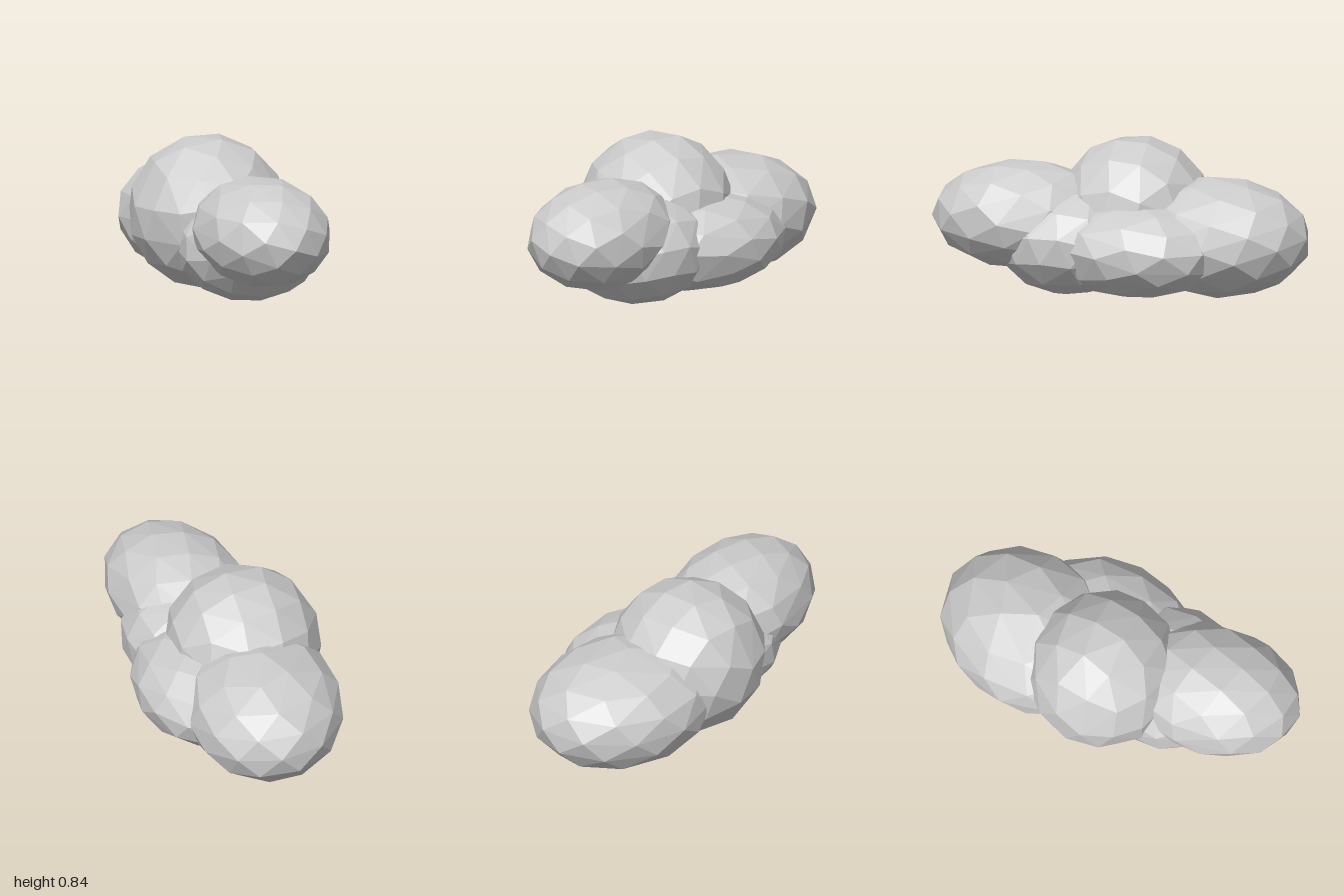
import * as THREE from 'three';
import { ConvexGeometry } from 'three/addons/geometries/ConvexGeometry.js';

// Faceted ellipsoids that overlap into one lumpy mass
const LOBES = [
  // name, centre, radii, yaw, facet turn
  ['backLobe', [-0.14, 0.325, -0.46], [0.43, 0.325, 0.535], 0, 0.3],
  ['topLobe', [-0.09, 0.425, 0.0], [0.428, 0.42, 0.425], 0, 1.1],
  ['frontLobe', [0.19, 0.425, 0.535], [0.36, 0.293, 0.49], 0.36, 2.0],
  ['sideLobe', [0.13, 0.285, -0.115], [0.4, 0.267, 0.51], 0, 2.7],
  ['lowerLobe', [0.13, 0.305, 0.28], [0.4, 0.307, 0.405], 0, 3.9],
];

const POINTS = 64;

// Unit ball with large, slightly irregular facets: the hull of a spiral of points
function facetedBall(turn) {
  const tilt = new THREE.Euler(turn, 0, turn * 0.7);
  const points = [];
  for (let i = 0; i < POINTS; i++) {
    const polar = Math.acos(1 - (2 * i + 1) / POINTS);
    const around = i * Math.PI * (3 - Math.sqrt(5));
    points.push(new THREE.Vector3().setFromSphericalCoords(1.01, polar, around).applyEuler(tilt));
  }
  return new ConvexGeometry(points);
}

export function createModel() {
  const group = new THREE.Group();
  group.name = 'lumpyCluster';
  const material = new THREE.MeshStandardMaterial({ color: 0xcccccc, flatShading: true });

  for (const [name, centre, radii, yaw, turn] of LOBES) {
    const geometry = facetedBall(turn).scale(...radii).rotateY(yaw);
    geometry.computeVertexNormals();
    const lobe = new THREE.Mesh(geometry, material);
    lobe.name = name;
    lobe.position.set(...centre);
    group.add(lobe);
  }
  return group;
}
